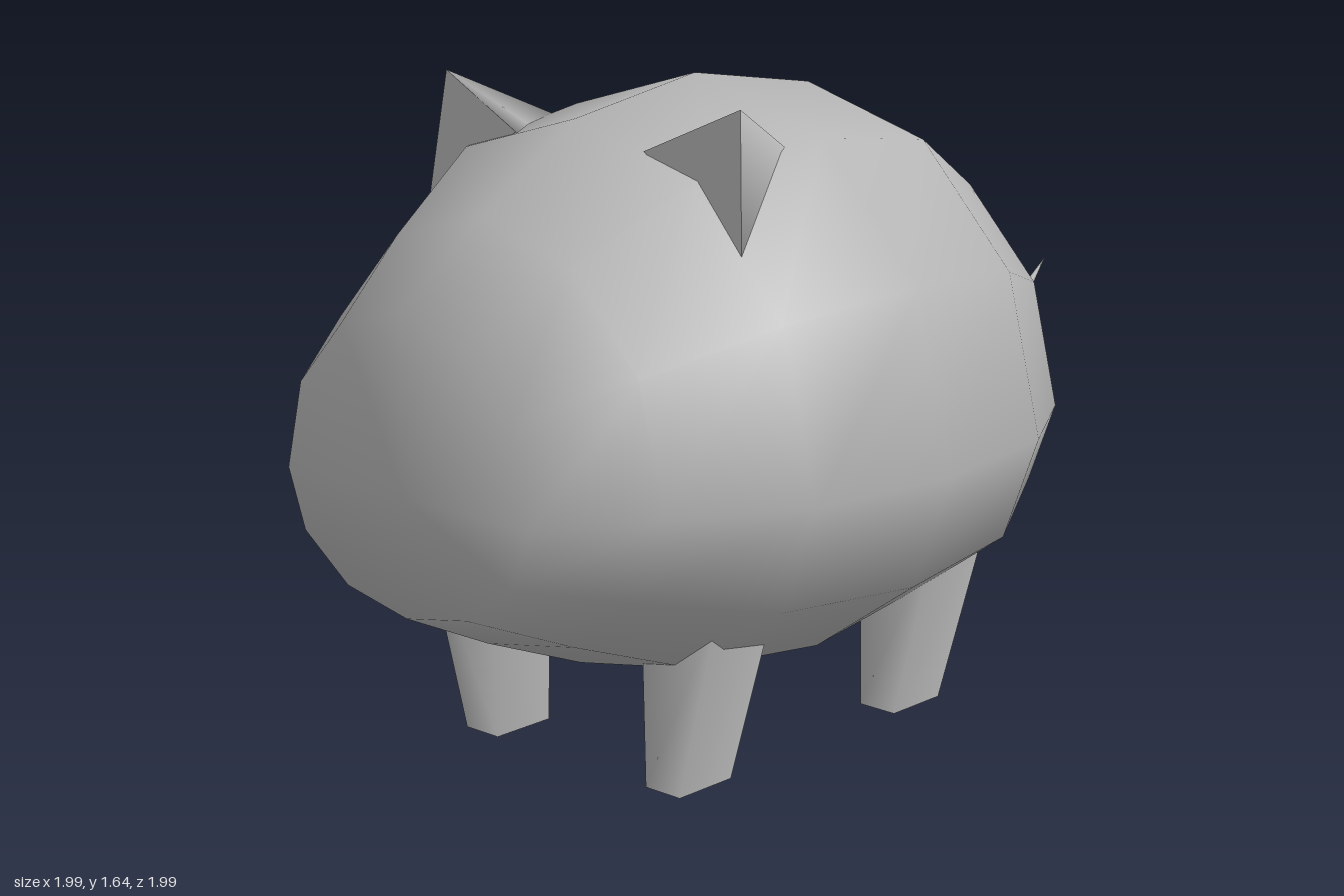
import * as THREE from 'three';
import { mergeVertices } from 'three/addons/utils/BufferGeometryUtils.js';

// Apply a rule to every vertex of a geometry.
function moveVertices(geo, rule) {
  const p = geo.attributes.position;
  const v = new THREE.Vector3();
  for (let i = 0; i < p.count; i++) {
    rule(v.fromBufferAttribute(p, i), i);
    p.setXYZ(i, v.x, v.y, v.z);
  }
  return geo;
}

function smooth(geo) {
  geo.deleteAttribute('normal');
  geo.deleteAttribute('uv');
  const merged = mergeVertices(geo, 1e-4);
  merged.computeVertexNormals();
  return merged;
}

// Twelve-sided barrel, cut flat at the snout, taller above its equator than below.
function bodyGeometry() {
  const profile = [
    [0, -0.93], [0.308, -0.87], [0.57, -0.685], [0.744, -0.38], [0.805, 0.04],
    [0.744, 0.45], [0.57, 0.757], [0.4, 1.01], [0, 1.01],
  ].map(([r, z]) => new THREE.Vector2(r, z));
  const geo = new THREE.LatheGeometry(profile, 12).rotateX(Math.PI / 2);
  moveVertices(geo, (v) => { v.y = 0.775 + v.y * (v.y > 0 ? 1.075 : 0.714); });
  return smooth(geo);
}

// Four-sided leg whose outer side leans outwards towards the top.
function legGeometry() {
  const geo = new THREE.CylinderGeometry(Math.SQRT1_2, Math.SQRT1_2, 0.5, 4, 1, false, Math.PI / 4);
  geo.scale(0.11, 1, 0.18).translate(0, 0.25, 0);
  return moveVertices(geo, (v) => {
    if (v.y > 0.25) {
      v.z *= 1.15;
      if (v.x > 0.01) v.x += 0.135;
      else if (v.x > -0.01) v.x += 0.067;
    }
  });
}

// Ear: a triangular front tapering back into the head.
function earGeometry() {
  const front = [0.21, 1.52, 0.44, 0.516, 1.305, 0.445, 0.48, 1.64, 0.41];
  const back = [0.276, 1.45, 0.22, 0.474, 1.4, 0.2, 0.38, 1.51, 0.14];
  const index = [0, 1, 2];
  for (let i = 0; i < 3; i++) {
    const j = (i + 1) % 3;
    index.push(3 + i, 6 + i, 6 + j, 3 + i, 6 + j, 3 + j);
  }
  const geo = new THREE.BufferGeometry();
  geo.setAttribute('position', new THREE.Float32BufferAttribute([...front, ...front, ...back], 3));
  geo.setIndex(index);
  geo.computeVertexNormals();
  return geo;
}

// Curled tail, tapering to a point.
function tailGeometry() {
  const path = new THREE.CatmullRomCurve3([
    [0, 0.88, -0.82], [0, 0.85, -0.97], [-0.02, 0.85, -1.11], [-0.06, 0.95, -1.2],
    [-0.05, 1.05, -1.11], [0.01, 0.95, -1.01], [0.06, 0.85, -1.08],
    [0.05, 0.87, -1.19], [0, 0.97, -1.4],
  ].map((p) => new THREE.Vector3(...p)));
  const rings = 18, sides = 6;
  const geo = new THREE.TubeGeometry(path, rings, 0.036, sides);
  moveVertices(geo, (v, i) => {
    const u = Math.floor(i / (sides + 1)) / rings;
    const k = u < 0.7 ? 1 : Math.max((1 - u) / 0.3, 0.02);
    v.lerp(path.getPointAt(u), 1 - k);
  });
  return smooth(geo);
}

export function createModel() {
  const grey = new THREE.MeshStandardMaterial({ color: 0xb4b4b4 });
  grey.name = 'grey';

  const pig = new THREE.Group();
  pig.name = 'pig';
  const add = (name, geo) => {
    const mesh = new THREE.Mesh(geo, grey);
    mesh.name = name;
    pig.add(mesh);
    return mesh;
  };

  add('body', bodyGeometry());
  add('tail', tailGeometry());

  const leg = legGeometry();
  const ear = earGeometry();
  for (const [side, s] of [['left', 1], ['right', -1]]) {
    add(side + 'Ear', ear).scale.x = s;
    for (const [end, z] of [['Front', 0.4], ['Back', -0.4]]) {
      const mesh = add(side + end + 'Leg', leg);
      mesh.position.set(s * 0.31, 0, z);
      mesh.scale.x = s;
    }
  }

  // The animal stands diagonally.
  pig.rotation.y = -Math.PI / 4;
  const model = new THREE.Group();
  model.name = 'pigModel';
  model.add(pig);
  return model;
}
